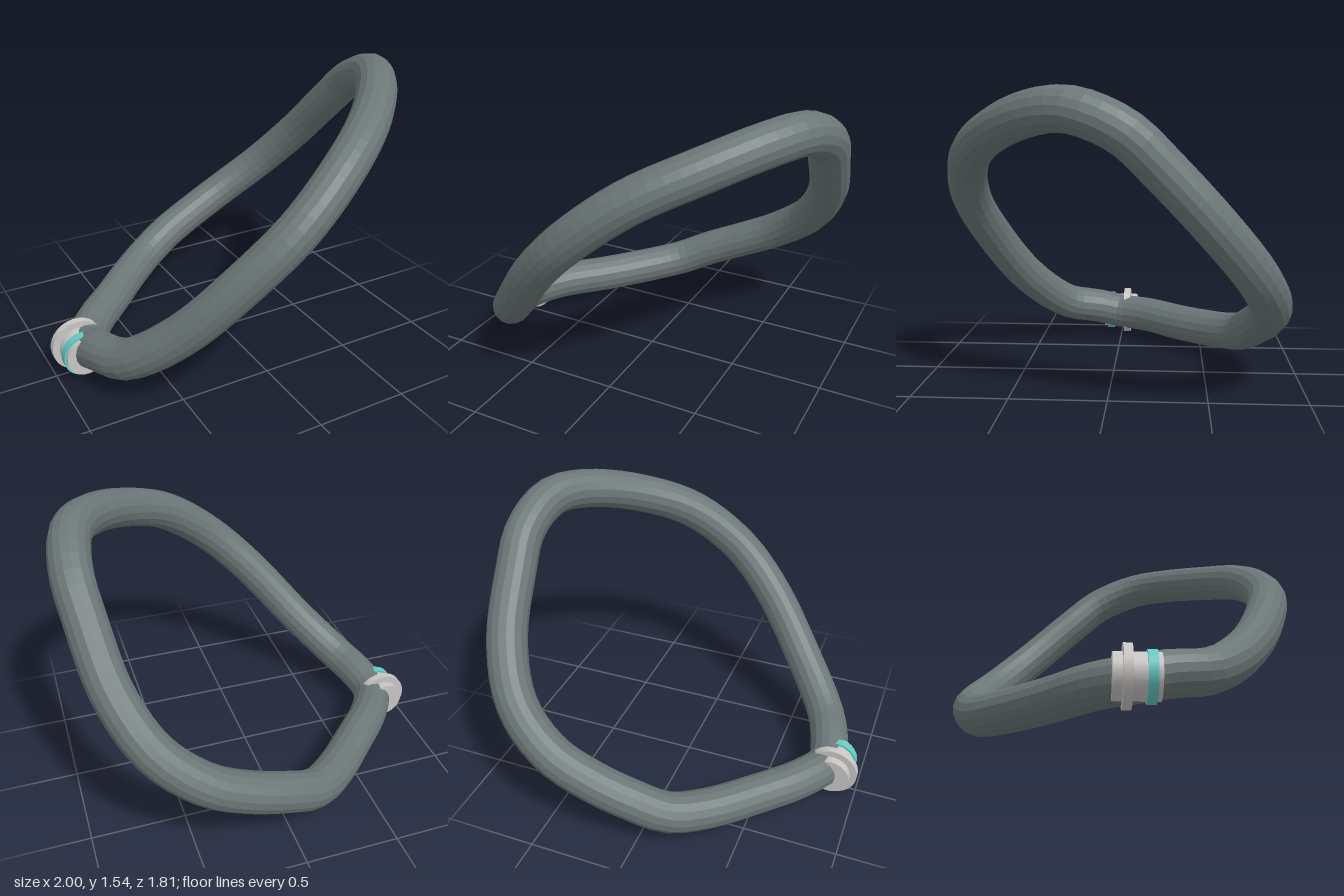
import * as THREE from 'three';

const rubber = new THREE.MeshStandardMaterial({ name: 'slate grey rubber', color: 0x6b7676, flatShading: true });
const metal = new THREE.MeshStandardMaterial({ name: 'light grey metal', color: 0xc8c6c4 });
const teal = new THREE.MeshStandardMaterial({ name: 'teal', color: 0x62c9c4 });

export function createModel() {
  const model = new THREE.Group();
  model.name = 'tubeLoop';

  // Bent hose: from the clasp along the low back, up the left side and down the high front
  const path = [
    [-0.82, 0.15, 0.01], [-0.72, 0.15, -0.17], [-0.53, 0.15, -0.37], [-0.32, 0.165, -0.58],
    [-0.15, 0.2, -0.71], [0.03, 0.285, -0.77], [0.22, 0.37, -0.8], [0.45, 0.49, -0.8],
    [0.67, 0.67, -0.71], [0.81, 0.91, -0.52], [0.87, 1.18, -0.27], [0.89, 1.34, -0.1],
    [0.85, 1.435, 0.13], [0.75, 1.425, 0.31], [0.53, 1.34, 0.545], [0.25, 1.2, 0.725],
    [-0.03, 0.98, 0.79], [-0.26, 0.75, 0.73], [-0.53, 0.43, 0.555], [-0.73, 0.23, 0.34],
    [-0.8, 0.185, 0.15],
  ].map((p) => new THREE.Vector3(...p));
  const curve = new THREE.CatmullRomCurve3(path, true);
  const hose = new THREE.Mesh(new THREE.TubeGeometry(curve, 84, 0.106, 16, true), rubber);
  hose.name = 'hose';
  model.add(hose);

  // Clasp: stacked discs on a common axis along z
  const clasp = new THREE.Group();
  clasp.name = 'clasp';
  clasp.position.set(-0.86, 0.145, 0);
  const disc = (name, radius, z0, z1, material) => {
    const geometry = new THREE.CylinderGeometry(radius, radius, z1 - z0, 32).rotateX(Math.PI / 2);
    const mesh = new THREE.Mesh(geometry, material);
    mesh.name = name;
    mesh.position.z = (z0 + z1) / 2;
    clasp.add(mesh);
  };
  disc('claspBarrel', 0.105, -0.1, 0.11, metal);
  disc('claspFlange', 0.142, -0.056, -0.016, metal);
  disc('claspBand', 0.117, 0.047, 0.09, teal);
  model.add(clasp);

  return model;
}
